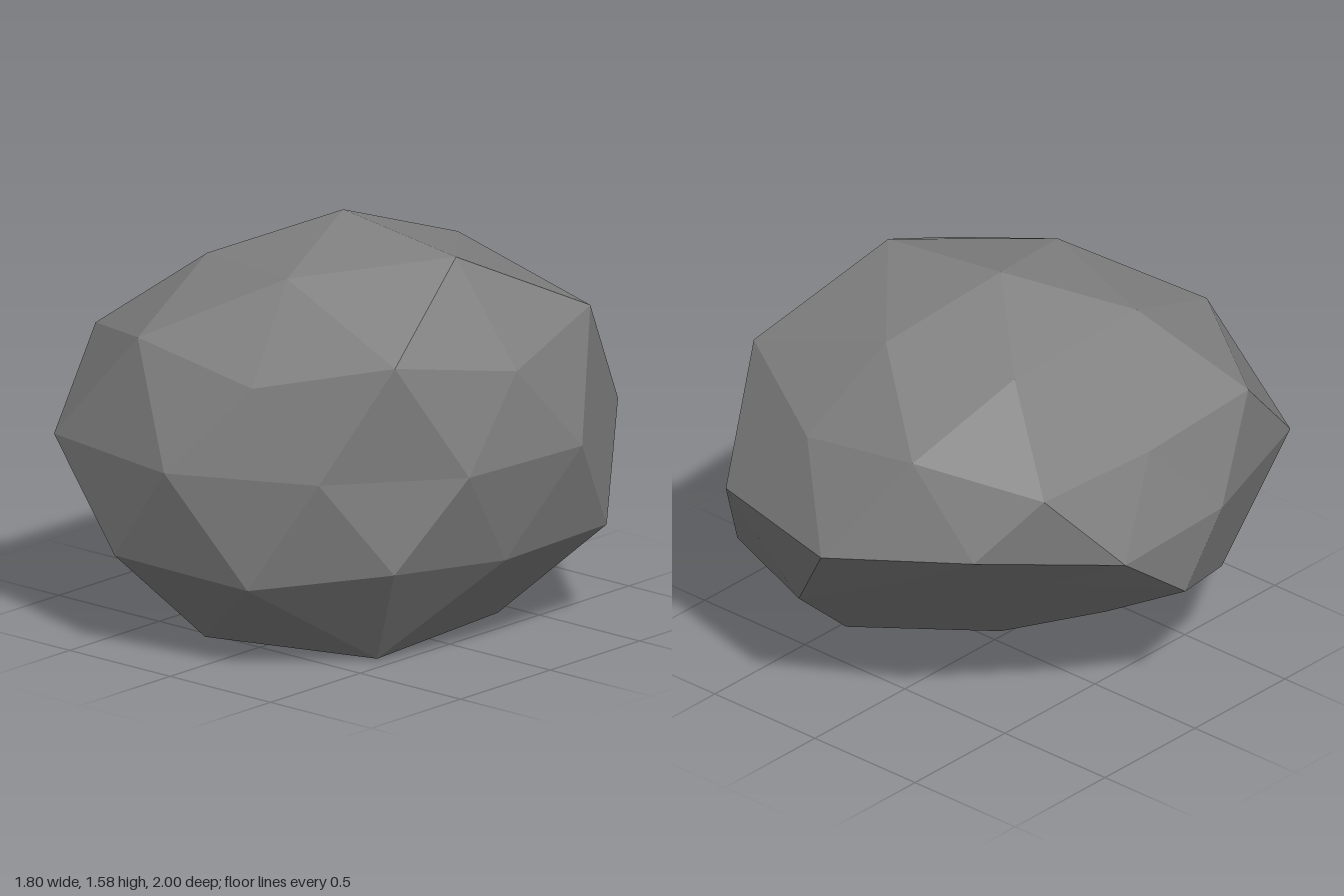
import * as THREE from 'three';

// A faceted boulder: a once-subdivided icosahedron with uneven radii,
// flattened against two planes and resting on the ground.
const CENTER = new THREE.Vector3(-0.03, 0.79, 0);
const SQUASH = 0.8;

// Flat sides: outward normal and distance from the origin
const flats = [
  new THREE.Plane(new THREE.Vector3(-0.43, -0.762, -0.486).normalize(), 0.048),
  new THREE.Plane(new THREE.Vector3(-0.64, 0.768, -0.03).normalize(), -1.34),
];

// Ring of points on the unit sphere at height y, each scaled by its own radius
function ring(y, startDeg, radii) {
  const r = Math.sqrt(1 - y * y);
  return radii.map((f, i) => {
    const a = THREE.MathUtils.degToRad(startDeg + (i * 360) / radii.length);
    const p = new THREE.Vector3(r * Math.sin(a), y * SQUASH, r * Math.cos(a))
      .multiplyScalar(f).add(CENTER);
    for (const plane of flats) {
      const d = plane.distanceToPoint(p);
      if (d > 0) p.addScaledVector(plane.normal, -d);
    }
    p.y = Math.max(p.y, 0);
    return p;
  });
}

function boulderGeometry() {
  const [top] = ring(1, 0, [1]);
  const crown = ring(0.851, 18, [0.99, 1.07, 0.94, 1.07, 1.1]);
  const upper = ring(0.447, 18, [0.94, 0.965, 0.93, 1.05, 1.06]);
  const upperMid = ring(0.526, 54, [1.065, 1.085, 0.95, 0.96, 1.04]);
  const belt = ring(0, 0, [1, 0.91, 0.93, 0.97, 1.045, 1, 0.98, 0.925, 0.9, 1.1]);
  const lowerMid = ring(-0.526, 18, [1.04, 0.95, 1.02, 1, 0.97]);
  const lower = ring(-0.447, 54, [1, 1.1, 1, 1.03, 1.1]);
  const foot = ring(-0.851, 54, [1.13, 1.1, 1, 1, 1.13]);
  const [bottom] = ring(-1, 0, [1.1]);

  const points = [];
  // One large triangle split into four by its edge points
  const split = (a, b, c, ab, bc, ca) =>
    points.push(a, ab, ca, ab, b, bc, ca, bc, c, ab, bc, ca);

  for (let k = 0; k < 5; k++) {
    const n = (k + 1) % 5;
    const prev = (k + 4) % 5;
    const b0 = belt[2 * k], b1 = belt[2 * k + 1], b2 = belt[(2 * k + 2) % 10];
    split(top, upper[k], upper[n], crown[k], upperMid[k], crown[n]);
    split(upper[k], lower[k], upper[n], b1, b2, upperMid[k]);
    split(upper[k], lower[prev], lower[k], b0, lowerMid[k], b1);
    split(lower[k], bottom, lower[n], foot[k], foot[n], lowerMid[n]);
  }

  const geometry = new THREE.BufferGeometry().setFromPoints(points);
  geometry.computeVertexNormals();
  return geometry;
}

export function createModel() {
  const stone = new THREE.MeshStandardMaterial({ color: 0x808080 });
  stone.name = 'stone grey';
  stone.flatShading = true;

  const boulder = new THREE.Mesh(boulderGeometry(), stone);
  boulder.name = 'boulder';

  const group = new THREE.Group();
  group.name = 'rock';
  group.add(boulder);
  return group;
}
